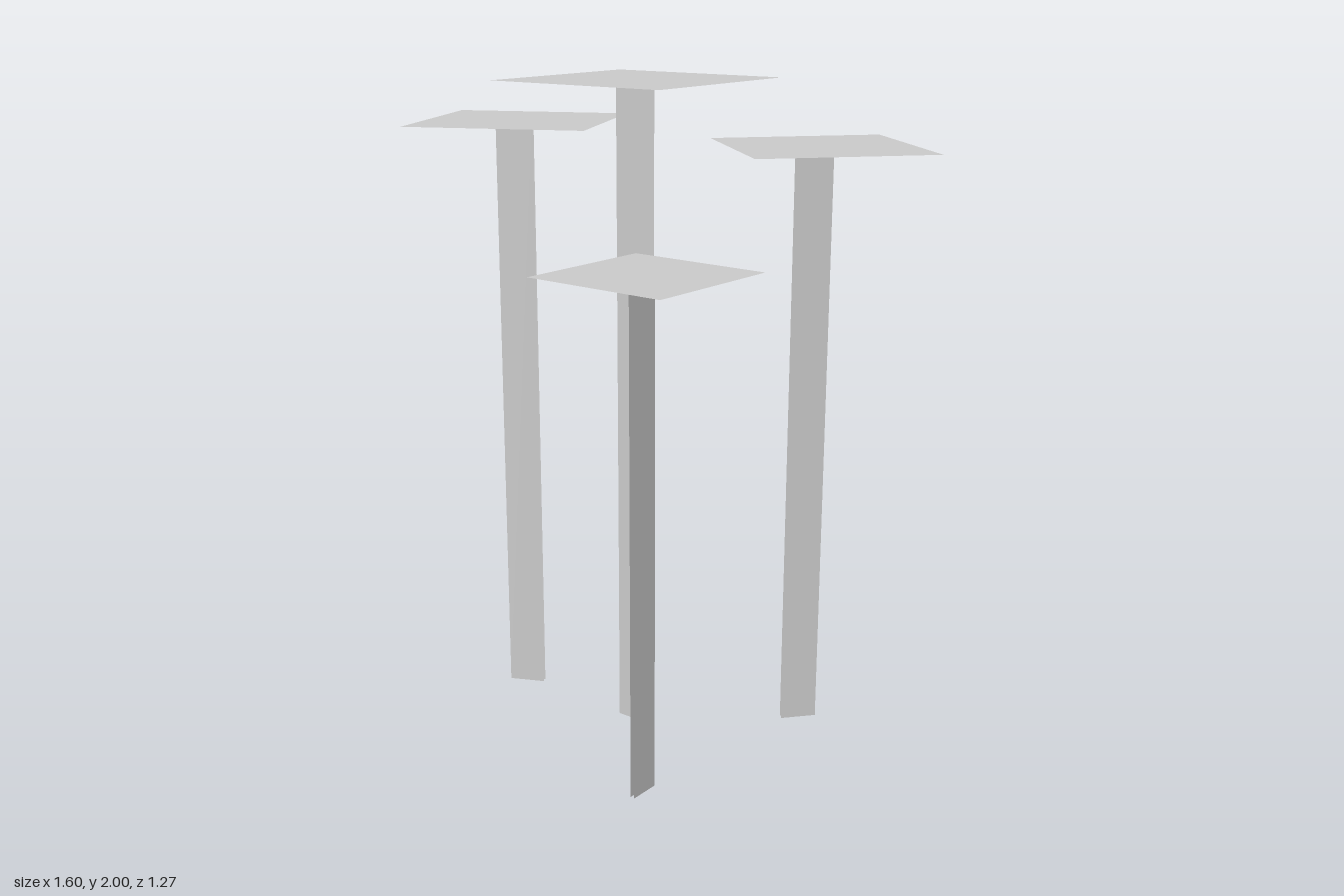
import * as THREE from 'three';

const material = new THREE.MeshStandardMaterial({ color: 0xcccccc, side: THREE.DoubleSide, flatShading: true });

function panel(name, width, height) {
  const mesh = new THREE.Mesh(new THREE.PlaneGeometry(width, height), material);
  mesh.name = name;
  return mesh;
}

// One mushroom: a flat square cap on a stem made of two parallel upright panels.
function mushroom({ x, z, size, height, turn, shift }) {
  const group = new THREE.Group();
  group.name = 'mushroom';

  const cap = panel('cap', size, size);
  cap.rotation.x = -Math.PI / 2;
  cap.position.y = height;
  group.add(cap);

  const stem = new THREE.Group();
  stem.name = 'stem';
  for (const side of [1, -1]) {
    const face = panel(side > 0 ? 'stemFront' : 'stemBack', size * 0.21, height);
    face.position.set(0, height / 2, side * size * 0.015);
    if (side < 0) face.rotation.y = Math.PI;
    stem.add(face);
  }
  stem.position.set(-shift, 0, -0.004);
  group.add(stem);

  group.position.set(x, 0, z);
  group.rotation.y = THREE.MathUtils.degToRad(turn);
  return group;
}

export function createModel() {
  const model = new THREE.Group();
  model.name = 'mushroomCluster';
  const cluster = [
    { x: 0.017, z: 0.072, size: 0.586, height: 2.0, turn: 0, shift: 0.0115 },
    { x: -0.438, z: 0.067, size: 0.546, height: 1.86, turn: 24.9, shift: 0.0147 },
    { x: 0.297, z: 0.398, size: 0.446, height: 1.525, turn: 87.8, shift: 0.016 },
    { x: 0.424, z: -0.264, size: 0.531, height: 1.81, turn: 47.7, shift: 0.018 },
  ];
  cluster.forEach((spec) => model.add(mushroom(spec)));
  return model;
}
